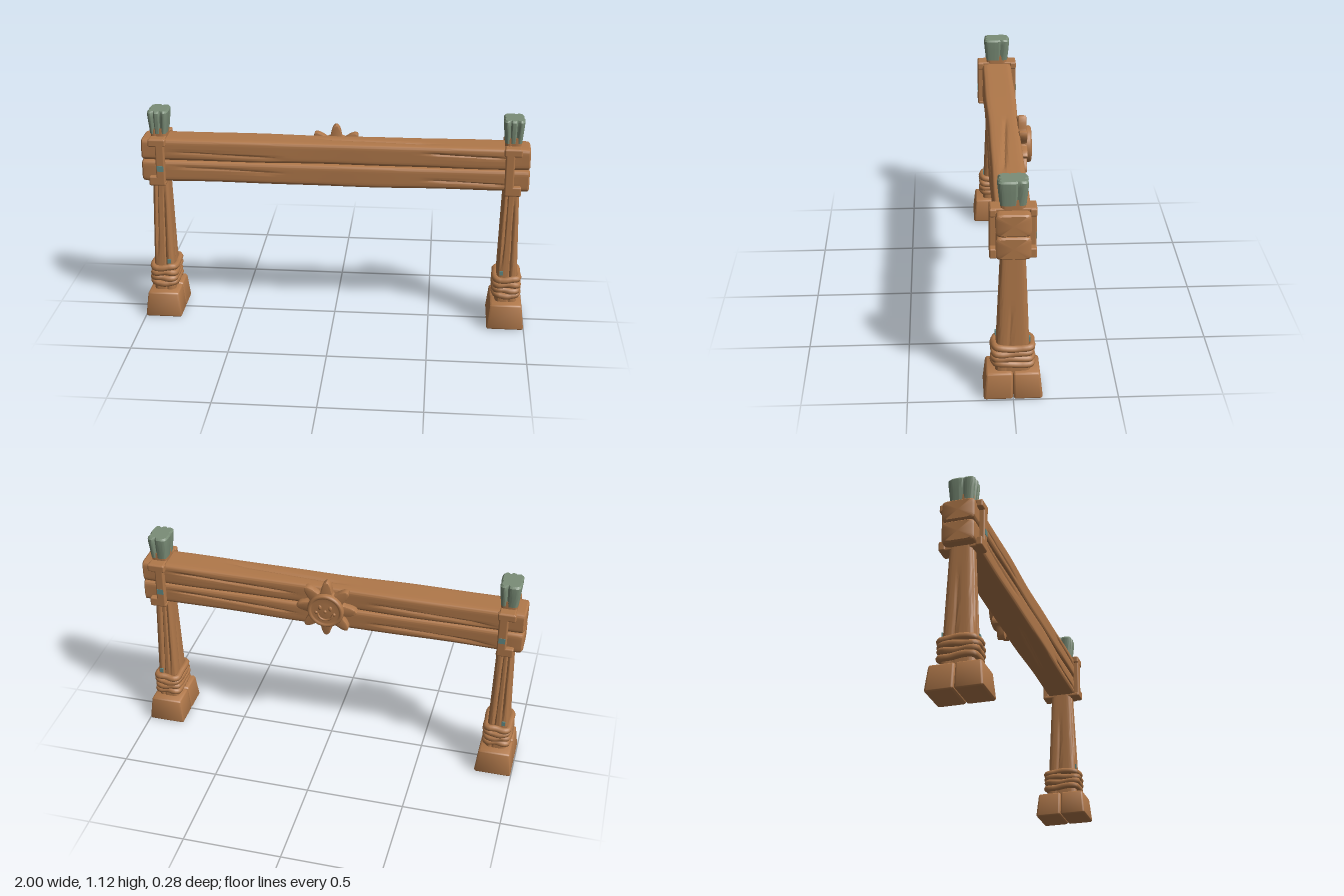
import * as THREE from 'three';
import { mergeVertices, toCreasedNormals } from 'three/addons/utils/BufferGeometryUtils.js';
import { RoundedBoxGeometry } from 'three/addons/geometries/RoundedBoxGeometry.js';

const wood = new THREE.MeshStandardMaterial({ color: 0xb0784a });
wood.name = 'brown wood';
const moss = new THREE.MeshStandardMaterial({ color: 0x7a8d77 });
moss.name = 'mossy green';
const teal = new THREE.MeshStandardMaterial({ color: 0x628b86 });
teal.name = 'worn teal';

function add(parent, name, geometry, material, x = 0, y = 0, z = 0) {
  const mesh = new THREE.Mesh(geometry, material);
  mesh.name = name;
  mesh.position.set(x, y, z);
  parent.add(mesh);
  return mesh;
}

// Drops seams, then smooths everything except hard edges
function smooth(geometry, angle = 0.6) {
  geometry.deleteAttribute('uv');
  geometry.deleteAttribute('normal');
  return toCreasedNormals(mergeVertices(geometry, 1e-5), angle);
}

// Carved timber: levels are [height, half x, half z]; grooves are [angle, width, depth, from, to, drift]
function timber(levels, grooves, power = 7) {
  const rows = levels.length - 1;
  const geo = new THREE.CylinderGeometry(1, 1, 1, 96, rows);
  const p = geo.attributes.position;
  for (let i = 0; i < p.count; i++) {
    const x = p.getX(i), z = p.getZ(i);
    const [h, hx, hz] = levels[Math.round((p.getY(i) + 0.5) * rows)];
    const angle = Math.atan2(x, z);
    let k = Math.hypot(x, z) < 0.5 ? 0 : 1 / Math.pow(Math.abs(x) ** power + Math.abs(z) ** power, 1 / power);
    for (const [a, w, d, from, to, drift] of grooves) {
      if (h < from || h > to) continue;
      const u = (h - from) / (to - from);
      let gap = angle - a - drift * (u - 0.5);
      gap = Math.atan2(Math.sin(gap), Math.cos(gap));
      k *= 1 - d * Math.min(1, 2 * Math.sin(Math.PI * u)) * Math.exp(-((gap / w) ** 2));
    }
    p.setXYZ(i, x * k * hx, h, z * k * hz);
  }
  return smooth(geo);
}

// Long plank lying along x with rounded ends and a gentle wobble
function plank(height, seed) {
  const levels = [[-0.99, height * 0.86, 0.068], [-0.982, height * 0.98, 0.08]];
  for (let i = 0; i <= 40; i++) {
    const x = -0.96 + i * 0.048;
    const wave = Math.sin(x * 5 + seed) + 0.5 * Math.sin(x * 11 + seed * 2);
    levels.push([x, height * (1 + 0.02 * wave), 0.08 + 0.0025 * wave]);
  }
  levels.push([0.982, height * 0.98, 0.08], [0.99, height * 0.86, 0.068]);
  const s = seed % 2 ? 1 : -1;
  const geo = timber(levels, [
    [1.5 * s, 0.12, 0.18, -0.55, 0.1, 0.5],
    [-1.6 * s, 0.1, 0.12, -0.2, 0.6, 0.3],
    [0.25 * s, 0.09, 0.09, -0.9, -0.45, 0.25],
    [-0.3 * s, 0.1, 0.06, 0.25, 0.85, 0.3],
    [3.0, 0.1, 0.12, -0.85, -0.15, 0.4],
    [-2.85, 0.1, 0.1, 0.2, 0.85, 0.4],
  ]);
  return geo.rotateZ(Math.PI / 2);
}

// Foot stone: a rounded block narrowed towards the top
function footStone(side) {
  const geo = new RoundedBoxGeometry(0.194, 0.136, 0.14, 3, 0.013);
  const p = geo.attributes.position;
  for (let i = 0; i < p.count; i++) {
    const t = p.getY(i) / 0.136 + 0.5;
    const z = p.getZ(i) * side + 0.07;
    p.setX(i, p.getX(i) * (1 - 0.16 * t));
    p.setZ(i, side * (z * (1 - 0.1 * t) + 0.001));
  }
  if (side < 0) p.needsUpdate = true;
  return smooth(geo, 0.7);
}

// Rope loop round the post with a slightly lumpy path
function ropeLoop(k) {
  const points = [];
  for (let i = 0; i < 32; i++) {
    const a = (i / 32) * Math.PI * 2;
    const c = Math.cos(a), s = Math.sin(a);
    const r = (1 + 0.025 * Math.sin(a * 5 + k * 2)) / Math.pow(c ** 6 + s ** 6, 1 / 6);
    points.push(new THREE.Vector3(c * r * 0.059, 0.004 * Math.sin(a * 3 + k * 1.7), s * r * 0.088));
  }
  return new THREE.TubeGeometry(new THREE.CatmullRomCurve3(points, true), 72, 0.0175, 8, true);
}

function buildPost(side) {
  const post = new THREE.Group();
  post.name = side > 0 ? 'leftPost' : 'rightPost';
  post.position.x = side * 0.9025;

  for (const s of [1, -1]) add(post, 'footStone', footStone(s), wood, 0, 0.068, 0);
  for (let k = 0; k < 4; k++) add(post, 'ropeLoop', ropeLoop(k), wood, 0, 0.176 + k * 0.029, 0);

  // Tapering grooved shaft
  const shaft = [];
  for (let i = 0; i <= 24; i++) {
    const t = i / 24;
    const y = 0.12 + t * 0.91;
    const flare = Math.max(0, 1 - t / 0.72);
    shaft.push([y, 0.041 + 0.017 * flare, 0.057 + 0.028 * flare]);
  }
  const grooves = [[0.3, 0.1, 0.16, 0.1, 0.72, 0.2], [-0.4, 0.1, 0.14, 0.3, 1.04, 0.3], [2.9, 0.1, 0.16, 0.1, 0.8, 0.3],
    [-2.7, 0.1, 0.12, 0.25, 1, 0.2], [1.35, 0.09, 0.08, 0.1, 0.5, 0.3], [-1.75, 0.1, 0.1, 0.1, 0.65, 0.3]];
  add(post, 'shaft', timber(shaft, grooves, 5), wood);

  // Mossy flared top
  const cap = [[1.0, 0.043, 0.0605], [1.03, 0.046, 0.064], [1.06, 0.049, 0.067], [1.09, 0.052, 0.07],
    [1.112, 0.053, 0.07], [1.121, 0.046, 0.062]];
  const notches = [[0.35, 0.14, 0.2], [-0.4, 0.12, 0.16], [1.9, 0.13, 0.14], [2.9, 0.14, 0.18], [-1.4, 0.12, 0.12]]
    .map(([a, w, d]) => [a, w, d, 0.9, 1.25, 0]);
  const capMesh = add(post, 'mossyCap', timber(cap, notches, 5), moss);
  capMesh.position.y = 0.001;

  // Clamp around the beam
  const inner = -side * 0.0145;
  for (const z of [1, -1]) {
    add(post, 'clampStrip', new RoundedBoxGeometry(0.046, 0.248, 0.034, 2, 0.008), wood, inner, 0.861, z * 0.091);
    add(post, 'clampUpperTab', new RoundedBoxGeometry(0.09, 0.04, 0.034, 2, 0.008), wood, 0, 0.966, z * 0.091);
    add(post, 'clampLowerTab', new RoundedBoxGeometry(0.08, 0.05, 0.034, 2, 0.008), wood, side * 0.006, 0.761, z * 0.091);
  }
  for (const y of [0.978, 0.745]) {
    add(post, 'clampBand', new RoundedBoxGeometry(0.08, 0.02, 0.21, 2, 0.007), wood, 0, y, 0);
  }

  // Worn paint flecks
  const fleck = (x, y, z, w, h) => add(post, 'paintFleck', new THREE.BoxGeometry(w, h, 0.006), teal, x, y, z);
  fleck(inner, 0.83, -0.1065, 0.034, 0.03);
  if (side < 0) fleck(inner, 0.83, 0.1065, 0.034, 0.03);
  fleck(-side * 0.03, 0.298, 0.079, 0.018, 0.024);
  fleck(side * 0.03, 0.298, -0.079, 0.018, 0.024);
  return post;
}

// Smiling sun emblem on the rear of the beam
function buildSun() {
  const sun = new THREE.Group();
  sun.name = 'sunEmblem';
  sun.position.set(0, 0.873, 0);

  const outline = [];
  for (let i = 0; i < 128; i++) {
    const a = (i / 128) * Math.PI * 2;
    const r = 0.085 + 0.066 * Math.pow((1 + Math.cos(8 * a)) / 2, 1.3);
    outline.push(new THREE.Vector2(Math.cos(a) * r, Math.sin(a) * r));
  }
  const rays = new THREE.ExtrudeGeometry(new THREE.Shape(outline),
    { depth: 0.03, bevelEnabled: true, bevelSize: 0.005, bevelThickness: 0.006, bevelSegments: 2 });
  add(sun, 'sunRays', smooth(rays, 0.7), wood, 0, 0, -0.108);

  const profile = [[0.092, 0], [0.094, 0.024], [0.09, 0.033], [0.083, 0.036], [0.075, 0.033], [0.07, 0.028], [0.04, 0.031], [0, 0.032]]
    .map(([r, h]) => new THREE.Vector2(r, h));
  add(sun, 'sunDisc', new THREE.LatheGeometry(profile, 40).rotateX(-Math.PI / 2), wood, 0, 0, -0.103);

  for (const s of [1, -1]) {
    const eye = add(sun, 'eye', new THREE.SphereGeometry(0.01, 14, 10), wood, s * 0.027, 0.02, -0.133);
    eye.scale.set(1, 1.4, 0.7);
    add(sun, 'cheek', new THREE.SphereGeometry(0.01, 12, 8), wood, s * 0.046, -0.012, -0.13);
  }
  add(sun, 'nose', new THREE.SphereGeometry(0.009, 12, 8), wood, 0, 0.0, -0.133);
  add(sun, 'smile', new THREE.TorusGeometry(0.038, 0.006, 8, 24, Math.PI).rotateZ(Math.PI), wood, 0, -0.012, -0.134);
  return sun;
}

export function createModel() {
  const model = new THREE.Group();
  model.name = 'woodenBarrier';
  for (const side of [1, -1]) model.add(buildPost(side));
  add(model, 'lowerPlank', plank(0.057, 2), wood, 0, 0.806, 0);
  add(model, 'upperPlank', plank(0.0565, 5), wood, 0, 0.921, 0);
  model.add(buildSun());
  return model;
}
